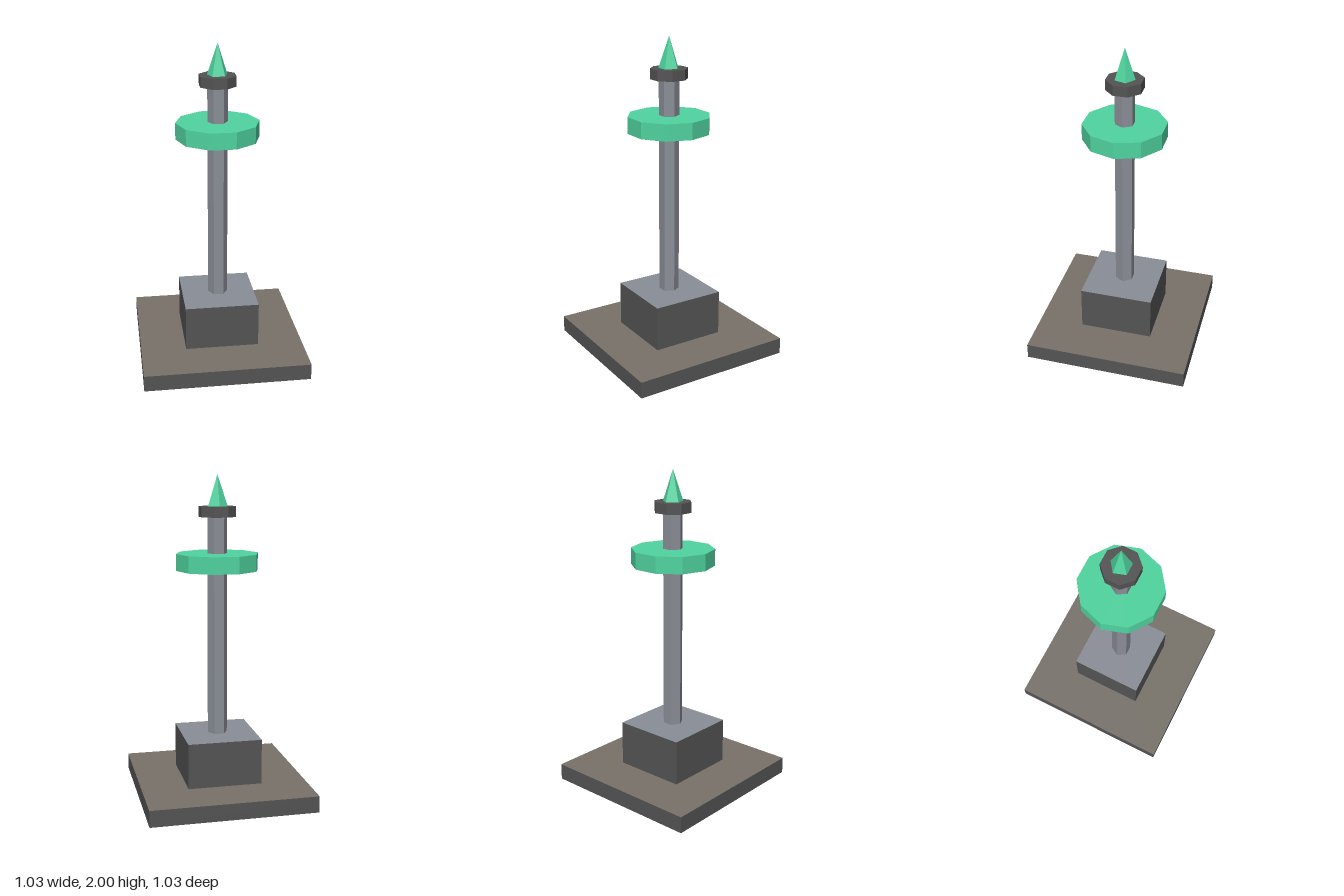
import * as THREE from 'three';

const flat = (name, color) =>
  new THREE.MeshStandardMaterial({ name, color, flatShading: true, side: THREE.DoubleSide });

export function createModel() {
  const model = new THREE.Group();
  model.name = 'monument';
  const darkGrey = flat('darkGrey', 0x545454);
  const stone = flat('stoneBrown', 0x78726a);
  const steel = flat('steelGrey', 0x8a8e97);
  const green = flat('green', 0x50d4a0);

  const add = (name, geometry, material, y, parent = model) => {
    const mesh = new THREE.Mesh(geometry, material);
    mesh.name = name;
    mesh.position.y = y;
    parent.add(mesh);
  };

  // Straight prism between two heights, turned by a given angle
  const prism = (name, radius, sides, y0, y1, turn, material, open = false, parent = model) => {
    const g = new THREE.CylinderGeometry(radius, radius, y1 - y0, sides, 1, open);
    add(name, g.rotateY(turn), material, (y0 + y1) / 2, parent);
  };

  // Square block, open underneath: four walls and a differently coloured top
  const block = (name, half, y0, y1, topMaterial) => {
    const group = new THREE.Group();
    group.name = name;
    prism(name + 'Walls', half * Math.SQRT2, 4, y0, y1, Math.PI / 4, darkGrey, true, group);
    add(name + 'Top', new THREE.PlaneGeometry(2 * half, 2 * half).rotateX(-Math.PI / 2), topMaterial, y1, group);
    model.add(group);
  };

  // Stepped foot
  block('base', 0.515, 0, 0.103, stone);
  block('pedestal', 0.231, 0.103, 0.387, steel);

  // Hexagonal column with its ten-sided disc and eight-sided collar
  prism('column', 0.062, 6, 0.387, 1.745, Math.PI / 2, steel);
  prism('disc', 0.257, 10, 1.421, 1.524, Math.PI / 2, green);
  prism('collar', 0.116, 8, 1.745, 1.809, Math.PI / 8, darkGrey);

  // Five-sided spike
  add('spike', new THREE.ConeGeometry(0.064, 0.191, 5).rotateY(Math.PI), green, 1.9045);

  return model;
}
